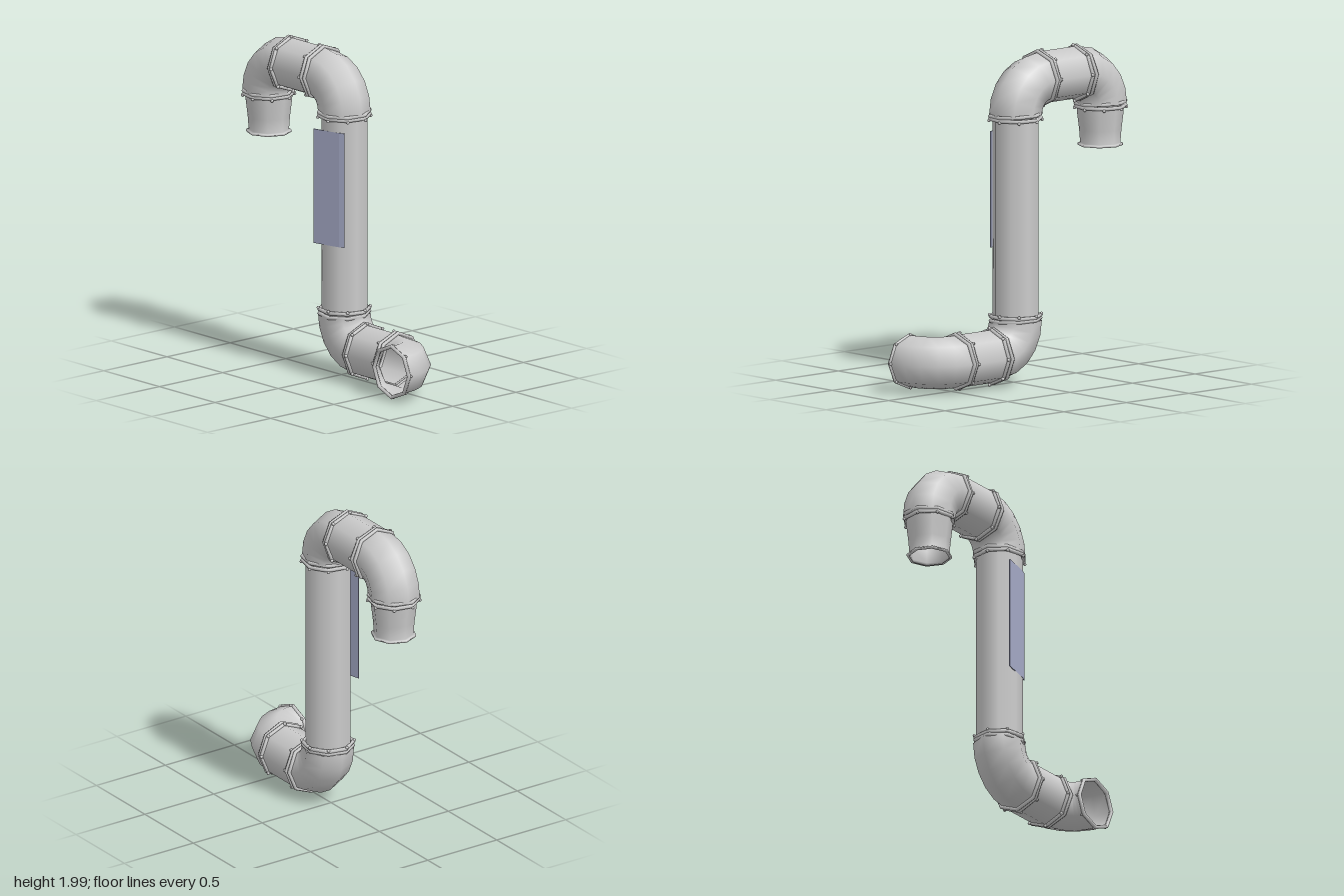
import * as THREE from 'three';

const SIDES = 8;
const X0 = 0.02;
const V = (x, y, z) => new THREE.Vector3(x, y, z);

// Quarter circle: starts at centre + a, ends at centre + b
class QuarterBend extends THREE.Curve {
  constructor(centre, a, b) {
    super();
    Object.assign(this, { centre, a, b });
  }
  getPoint(t, target = new THREE.Vector3()) {
    const u = t * Math.PI / 2;
    return target.copy(this.centre)
      .addScaledVector(this.a, Math.cos(u))
      .addScaledVector(this.b, Math.sin(u));
  }
}

export function createModel() {
  const model = new THREE.Group();
  const metal = new THREE.MeshStandardMaterial({ color: 0xcccccc, side: THREE.DoubleSide });
  const blue = new THREE.MeshStandardMaterial({ color: 0xa6abc8, side: THREE.DoubleSide });

  const add = (name, geometry, parent = model, material = metal) => {
    const mesh = new THREE.Mesh(geometry, material);
    mesh.name = name;
    parent.add(mesh);
    return mesh;
  };

  const elbow = (name, centre, a, b) =>
    add(name, new THREE.TubeGeometry(new QuarterBend(centre, a, b), 5, 0.157, SIDES, false));

  const sleeve = (name, y, z, radius, length) => {
    const g = new THREE.CylinderGeometry(radius, radius, length, SIDES, 1, true);
    g.rotateX(Math.PI / 2);
    add(name, g).position.set(X0, y, z);
  };

  // Pair of slightly misaligned flange rings with bolts; the joint axis is local z
  const joint = (name, position, rotation, radius, phase, boltSide) => {
    const group = new THREE.Group();
    group.name = name;
    group.position.copy(position);
    group.rotation.set(...rotation);
    for (const side of [-1, 1]) {
      const ring = add('flangeRing', new THREE.TorusGeometry(radius, 0.012, 6, SIDES), group);
      ring.position.z = side * 0.011;
      ring.rotation.set(side === boltSide ? 0 : 0.02, side === boltSide ? 0 : 0.04, phase);
    }
    for (let i = 0; i < SIDES; i++) {
      const u = phase + i * Math.PI * 2 / SIDES;
      const bolt = add('bolt', new THREE.SphereGeometry(0.01, 8, 6), group);
      bolt.position.set(Math.cos(u) * (radius + 0.006), Math.sin(u) * (radius + 0.006), boltSide * 0.021);
    }
    model.add(group);
  };

  // Upright pipe
  const pipe = add('uprightPipe', new THREE.CylinderGeometry(0.14, 0.14, 1.22, SIDES, 1, true));
  pipe.position.set(X0, 1.0, 0.003);
  pipe.rotation.y = -THREE.MathUtils.degToRad(9);

  // Thin bent plate on the side of the upright pipe
  const outline = new THREE.Shape([
    [-0.137, -0.095], [-0.131, -0.096], [-0.089, 0.084], [-0.076, 0.113], [-0.08, 0.117], [-0.094, 0.085],
  ].map(([x, z]) => new THREE.Vector2(x, z)));
  const plate = new THREE.ExtrudeGeometry(outline, { depth: 0.7, bevelEnabled: false });
  plate.rotateX(Math.PI / 2);
  add('sidePlate', plate, model, blue).position.y = 1.52;

  // Elbows
  elbow('upperElbow', V(X0, 1.62, -0.185), V(0, 0, 0.188), V(0, 0.2, 0));
  elbow('spoutElbow', V(X0, 1.62, -0.495), V(0, 0.2, 0), V(0, 0, -0.182));
  elbow('lowerElbow', V(X0, 0.385, 0.19), V(0, 0, -0.187), V(0, -0.2, 0));
  elbow('inletElbow', V(-0.18, 0.185, 0.48), V(0.2, 0, 0), V(0, 0, 0.185));

  // Straight horizontal sections
  sleeve('topSleeve', 1.822, -0.34, 0.158, 0.31);
  sleeve('bottomSleeve', 0.186, 0.33, 0.16, 0.3);

  // Bolted joints
  const down = [Math.PI / 2, 0, 0];
  const phase = THREE.MathUtils.degToRad(-11);
  joint('upperPipeJoint', V(X0, 1.61, 0.003), down, 0.153, phase, 1);
  joint('lowerPipeJoint', V(X0, 0.4, 0.003), down, 0.15, phase, -1);
  joint('topInnerJoint', V(X0, 1.82, -0.193), [0, 0, 0], 0.162, 0.04, -1);
  joint('topOuterJoint', V(X0, 1.82, -0.485), [0, 0, 0], 0.162, 0.04, 1);
  joint('bottomInnerJoint', V(X0, 0.187, 0.19), [0, 0, 0], 0.164, 0, 1);
  joint('bottomOuterJoint', V(X0, 0.187, 0.47), [0, 0, 0], 0.164, 0, -1);
  joint('spoutJoint', V(X0, 1.612, -0.677), down, 0.15, phase, 1);

  // Open inlet rim with bolts
  const rim = new THREE.Group();
  rim.name = 'inletRim';
  rim.position.set(-0.188, 0.185, 0.665);
  rim.rotation.y = Math.PI / 2;
  add('rimRing', new THREE.TorusGeometry(0.156, 0.012, 6, SIDES), rim);
  for (let i = 0; i < SIDES; i++) {
    const u = i * Math.PI * 2 / SIDES;
    add('bolt', new THREE.SphereGeometry(0.009, 8, 6), rim)
      .position.set(Math.cos(u) * 0.16, Math.sin(u) * 0.16, 0.012);
  }
  model.add(rim);

  // Tapered spout with an open lip
  const profile = [[0.142, 1.61], [0.137, 1.55], [0.126, 1.46], [0.12, 1.38], [0.136, 1.376], [0.136, 1.364], [0.12, 1.364]]
    .map(([r, y]) => new THREE.Vector2(r, y));
  add('spout', new THREE.LatheGeometry(profile, SIDES)).position.set(X0, 0, -0.675);

  return model;
}
